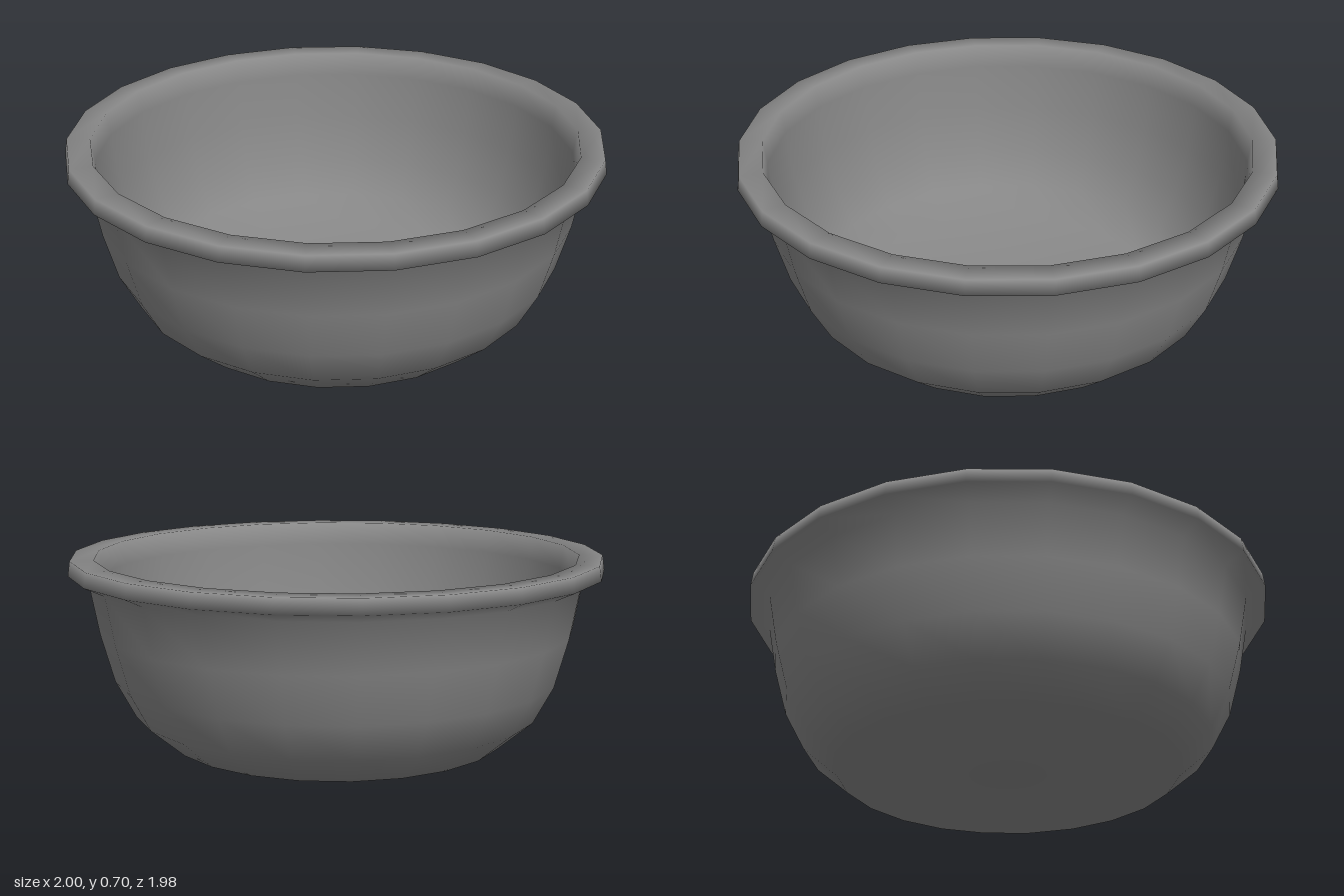
import * as THREE from 'three';
import { mergeVertices } from 'three/addons/utils/BufferGeometryUtils.js';

const SIDES = 22;

export function createModel() {
  const group = new THREE.Group();
  group.name = 'basin';

  // Closed cross-section [radius, height]: underside, outer wall, rim, inner wall, floor
  const profile = [
    [0, 0], [0.635, 0], [0.765, 0.11], [0.84, 0.25], [0.89, 0.43], [0.925, 0.615],
    [1, 0.65], [0.992, 0.705], [0.905, 0.705],
    [0.893, 0.615], [0.872, 0.43], [0.824, 0.25], [0.752, 0.117], [0.645, 0.015], [0, 0.015],
  ].map(([r, y]) => new THREE.Vector2(r, y));

  // Start the turn at +x so that corners fall on the x axis
  const lathe = new THREE.LatheGeometry(profile, SIDES, Math.PI / 2, Math.PI * 2);

  // Weld the seam and average normals by face area, so floor and underside stay evenly lit
  lathe.deleteAttribute('uv');
  lathe.deleteAttribute('normal');
  const geometry = mergeVertices(lathe, 1e-4);
  geometry.computeVertexNormals();

  const bowl = new THREE.Mesh(geometry, new THREE.MeshStandardMaterial({ color: 0x888888 }));
  bowl.name = 'bowl';
  group.add(bowl);
  return group;
}
